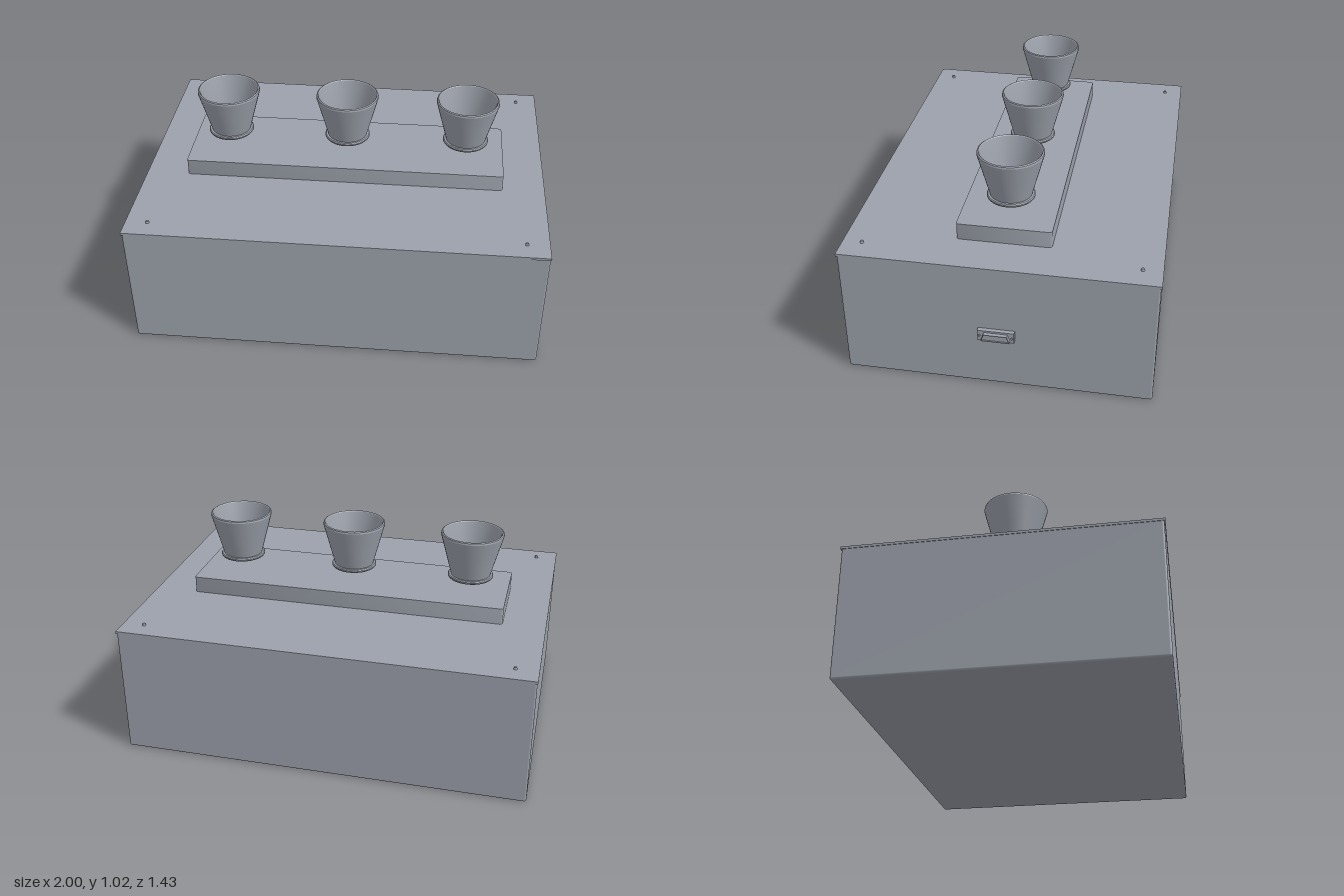
import * as THREE from 'three';
import { RoundedBoxGeometry } from 'three/addons/geometries/RoundedBoxGeometry.js';
import { toCreasedNormals } from 'three/addons/utils/BufferGeometryUtils.js';

const CX = -0.018; // centre of the case, which the side connector pushes off x = 0
const grey = new THREE.MeshStandardMaterial({ color: 0x9ca1ab });
grey.name = 'casing grey';

function add(parent, name, geometry, x = 0, y = 0, z = 0) {
  const mesh = new THREE.Mesh(geometry, grey);
  mesh.name = name;
  mesh.position.set(x, y, z);
  parent.add(mesh);
  return mesh;
}

// Flat slab with rounded vertical corners, standing on y = 0
function roundedSlab(w, d, h, r) {
  const s = new THREE.Shape();
  const a = w / 2, b = d / 2;
  s.moveTo(-a + r, -b);
  s.lineTo(a - r, -b).absarc(a - r, -b + r, r, -Math.PI / 2, 0);
  s.lineTo(a, b - r).absarc(a - r, b - r, r, 0, Math.PI / 2);
  s.lineTo(-a + r, b).absarc(-a + r, b - r, r, Math.PI / 2, Math.PI);
  s.lineTo(-a, -b + r).absarc(-a + r, -b + r, r, Math.PI, Math.PI * 1.5);
  const g = new THREE.ExtrudeGeometry(s, { depth: h, bevelEnabled: false, curveSegments: 5 });
  return toCreasedNormals(g.rotateX(-Math.PI / 2), 0.6);
}

// Trapezoid in the z/y plane, wider at the bottom, extruded along +x
function trapezoid(bottom, top, h, depth, inset = 0) {
  const outline = (target, b, t, k) => {
    target.moveTo(-b, -k);
    target.lineTo(b, -k);
    target.lineTo(t, k);
    target.lineTo(-t, k);
    target.closePath();
    return target;
  };
  const s = outline(new THREE.Shape(), bottom, top, h / 2);
  if (inset) s.holes.push(outline(new THREE.Path(), bottom - inset * 1.4, top - inset, h / 2 - inset));
  return new THREE.ExtrudeGeometry(s, { depth, bevelEnabled: false }).rotateY(Math.PI / 2);
}

export function createModel() {
  const model = new THREE.Group();
  model.name = 'controlBox';

  // Case, lid and raised plinth
  add(model, 'case', new RoundedBoxGeometry(1.96, 0.64, 1.426, 3, 0.01), CX, 0.32, -0.002);
  add(model, 'lid', new THREE.BoxGeometry(1.965, 0.012, 1.435), CX, 0.637, -0.002);
  add(model, 'plinth', roundedSlab(1.555, 0.436, 0.081, 0.015), CX, 0.643, -0.002);

  // Three open funnels with a beaded foot and a chamfered rim, hovering over the plinth
  const profile = [
    [0.084, 0.782], [0.107, 0.782], [0.111, 0.787], [0.111, 0.793], [0.107, 0.798], [0.097, 0.798],
    [0.153, 1.005], [0.151, 1.013], [0.145, 1.017], [0.141, 1.013], [0.084, 0.798], [0.084, 0.782],
  ].map(([r, y]) => new THREE.Vector2(r, y));
  const funnel = toCreasedNormals(new THREE.LatheGeometry(profile, 48), 0.5);
  for (const dx of [-0.589, 0, 0.589]) add(model, 'funnel', funnel, CX + dx, 0, -0.002);

  // Lid screws at the four corners
  const screw = new THREE.CylinderGeometry(0.006, 0.009, 0.012, 16);
  for (const sx of [-1, 1])
    for (const sz of [-1, 1])
      add(model, 'lidScrew', screw, CX + sx * 0.877, 0.648, -0.002 + sz * 0.627);

  // Socket on the left side: flange, trapezoid shell and core, two fixing screws
  const socket = new THREE.Group();
  socket.name = 'socket';
  socket.position.set(0.96, 0.288, -0.002);
  model.add(socket);
  add(socket, 'flange', new THREE.BoxGeometry(0.022, 0.054, 0.168), 0.011, 0, 0);
  add(socket, 'shell', trapezoid(0.066, 0.054, 0.036, 0.02, 0.003), 0.02, 0, 0);
  add(socket, 'core', trapezoid(0.062, 0.05, 0.03, 0.014), 0.02, 0, 0);
  const fixing = new THREE.CylinderGeometry(0.005, 0.005, 0.008, 12).rotateZ(Math.PI / 2);
  for (const s of [-1, 1]) add(socket, 'fixingScrew', fixing, 0.024, 0, s * 0.074);

  return model;
}
